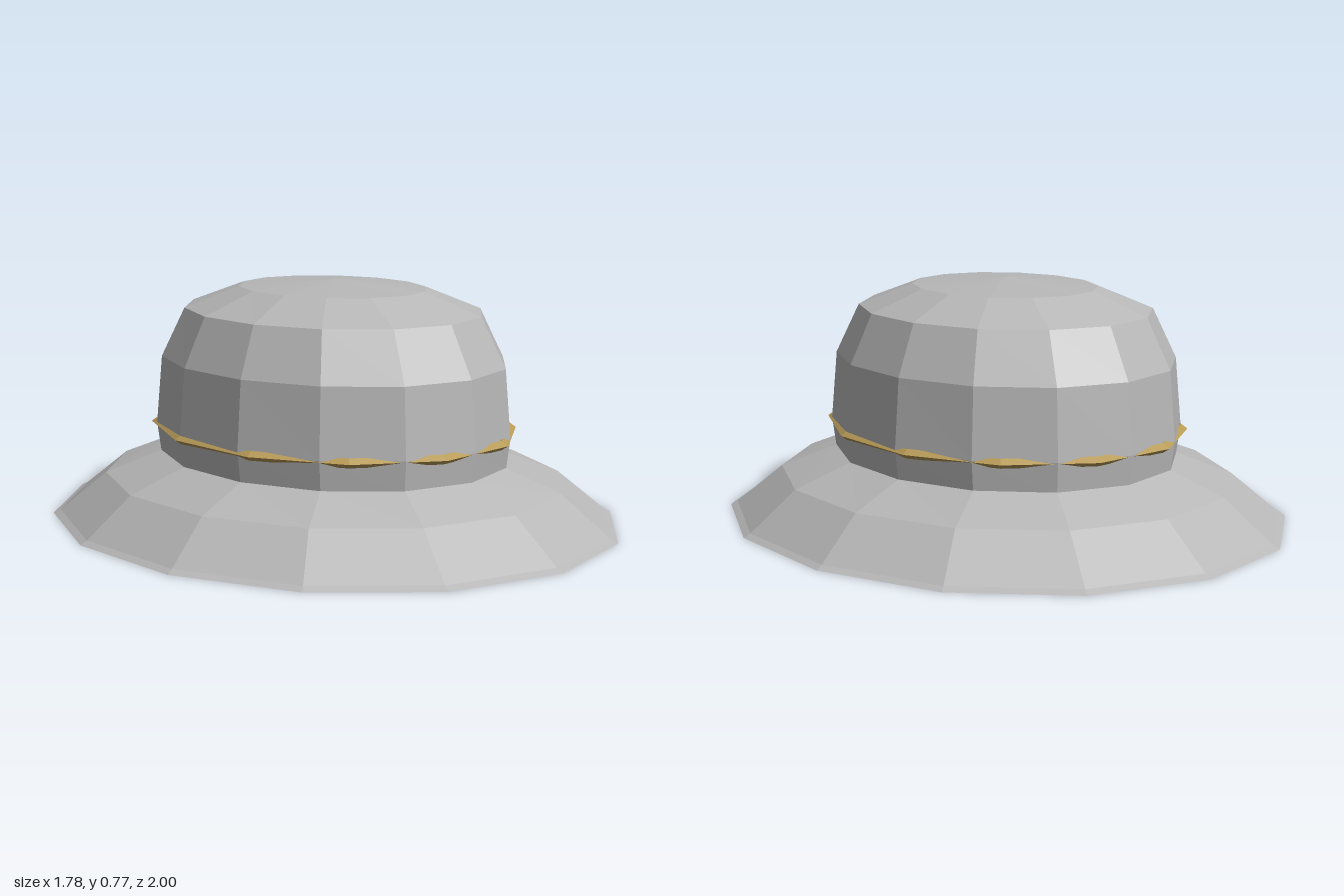
import * as THREE from 'three';

const SIDES = 14;

// Faceted shell through elliptical rings [x radius, z radius, y], listed bottom to top
function loft(rings) {
  const geo = new THREE.LatheGeometry(
    rings.map(([rx, , y]) => new THREE.Vector2(rx, y)), SIDES, Math.PI / 2);
  const pos = geo.attributes.position;
  for (let i = 0; i < pos.count; i++) {
    const [rx, rz] = rings[i % rings.length];
    if (rx > 0) pos.setZ(i, pos.getZ(i) * rz / rx);
  }
  return geo;
}

export function createModel() {
  const felt = new THREE.MeshStandardMaterial({ color: 0xb8b8b8, flatShading: true, side: THREE.DoubleSide });
  felt.name = 'grey felt';
  const gold = new THREE.MeshStandardMaterial({ color: 0xb89b58, flatShading: true });
  gold.name = 'gold cord';

  const hat = new THREE.Group();
  hat.name = 'hat';
  const add = (name, geo, mat) => {
    const mesh = new THREE.Mesh(geo, mat);
    mesh.name = name;
    hat.add(mesh);
    return mesh;
  };

  // Sloping brim with a slightly flattened rim
  add('brim', loft([
    [0.89, 1.026, 0],
    [0.868, 1.0, 0.012],
    [0.72, 0.83, 0.137],
    [0.53, 0.652, 0.21],
  ]), felt);

  // Crown wall and shallow dome, open underneath
  add('crown', loft([
    [0.535, 0.656, 0.2],
    [0.549, 0.668, 0.3],
    [0.53, 0.65, 0.52],
    [0.458, 0.56, 0.678],
    [0.288, 0.354, 0.748],
    [0, 0, 0.772],
  ]), felt);

  // Diamond-section cord with twelve sides, partly sunk into the crown
  const cord = new THREE.TorusGeometry(0.545, 0.02, 4, 12).rotateX(Math.PI / 2);
  cord.scale(1, 0.75, 1.218);
  add('hatBand', cord, gold).position.y = 0.296;

  return hat;
}
